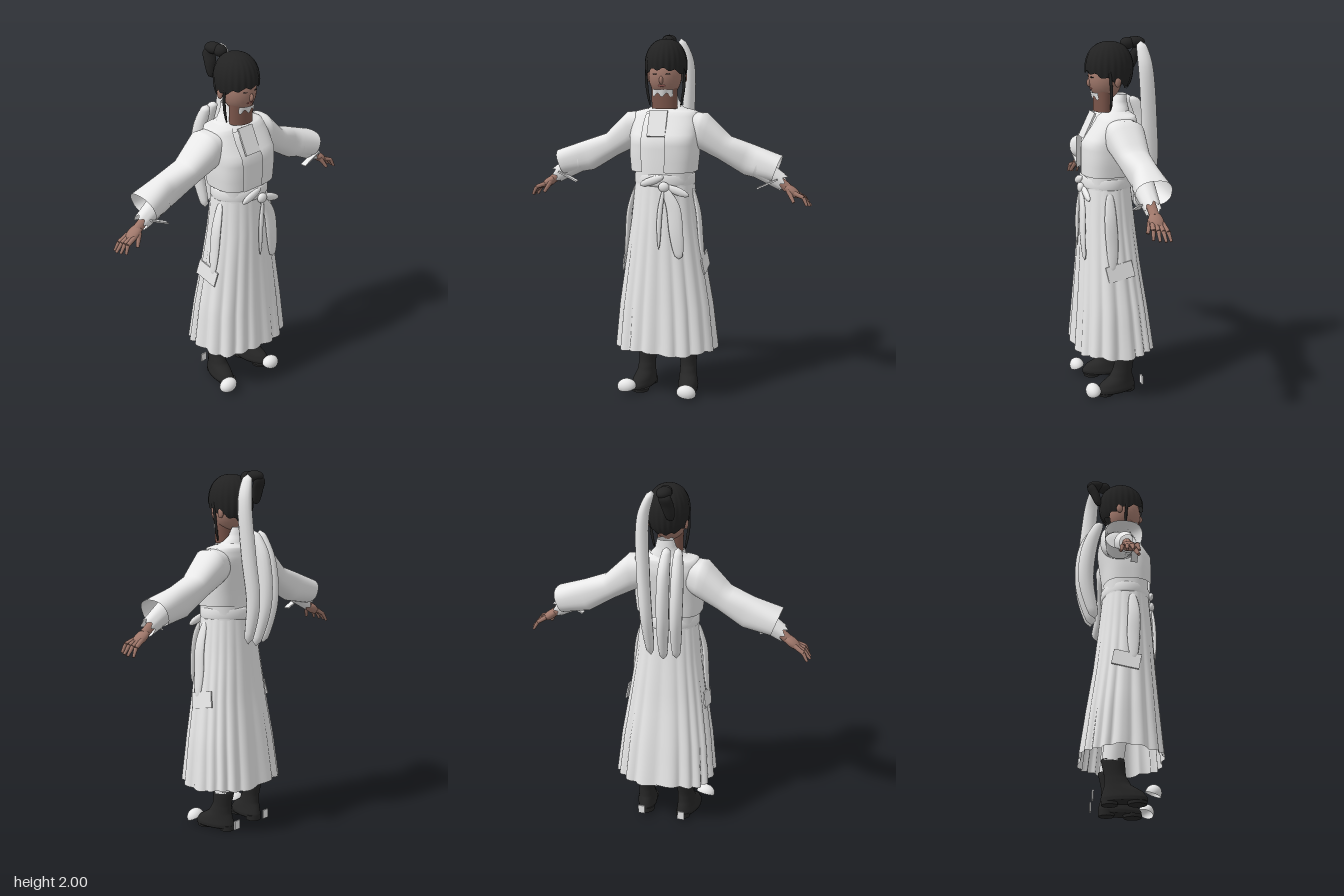
import * as THREE from 'three';

const mat = (name, color) => new THREE.MeshStandardMaterial({ name, color, side: THREE.DoubleSide });
const TAU = Math.PI * 2;

export function createModel() {
  const root = new THREE.Group();
  root.name = 'robedFigure';
  const cloth = mat('white cloth', 0xececec);
  const hair = mat('black hair', 0x222222);
  const leather = mat('black leather', 0x262626);
  const skin = mat('skin', 0xa0786b);
  const shade = mat('brown neck cloth', 0x7a554a);
  const lip = mat('lips', 0xa5645f);

  function add(name, geo, material, parent = root) {
    const m = new THREE.Mesh(geo, material);
    m.name = name;
    parent.add(m);
    return m;
  }

  // Skin over cross-sections: fn(row 0..1, column 0..1) returns a point
  function loft(rows, cols, fn, closed = true) {
    const pos = [], idx = [], n = closed ? cols : cols + 1;
    for (let i = 0; i <= rows; i++)
      for (let j = 0; j < n; j++) pos.push(...fn(i / rows, j / cols));
    for (let i = 0; i < rows; i++)
      for (let j = 0; j < cols; j++) {
        const a = i * n + j, c = i * n + (j + 1) % n, b = a + n, d = c + n;
        idx.push(a, b, c, b, d, c);
      }
    const g = new THREE.BufferGeometry();
    g.setAttribute('position', new THREE.Float32BufferAttribute(pos, 3));
    g.setIndex(idx);
    g.computeVertexNormals();
    return g;
  }

  // Interpolate a table of stations at t in 0..1
  function at(table, t) {
    const f = t * (table.length - 1), i = Math.min(Math.floor(f), table.length - 2);
    return table[i].map((v, k) => v + (table[i + 1][k] - v) * (f - i));
  }
  const pw = (v, p) => Math.sign(v) * Math.abs(v) ** p;

  // Body section stations: [y, half width, centre z, half depth]
  function body(table, rows, cols, power = 1, from = 0, to = TAU) {
    return loft(rows, cols, (u, v) => {
      const [y, rx, zc, rz] = at(table, u), a = from + (to - from) * v;
      return [rx * pw(Math.sin(a), power), y, zc + rz * pw(Math.cos(a), power)];
    }, to - from > 6.28);
  }

  // Tapered soft strip hanging along a curve
  function strip(points, w, t, taper = 0.5) {
    const c = new THREE.CatmullRomCurve3(points.map(p => new THREE.Vector3(...p)));
    return loft(28, 12, (u, v) => {
      const p = c.getPoint(u), s = Math.sin(Math.PI * u) ** taper + 0.02, a = v * TAU;
      return [p.x + w * s * Math.sin(a), p.y, p.z + t * s * Math.cos(a)];
    });
  }

  function ball(name, material, p, s, parent = root) {
    const m = add(name, new THREE.SphereGeometry(1, 24, 16), material, parent);
    m.position.set(...p);
    m.scale.set(...s);
    return m;
  }

  function limb(name, material, a, b, r0, r1, parent) {
    const A = new THREE.Vector3(...a), d = new THREE.Vector3(...b).sub(A);
    const m = add(name, new THREE.CylinderGeometry(r1, r0, d.length(), 10), material, parent);
    m.position.copy(A).addScaledVector(d, 0.5);
    m.quaternion.setFromUnitVectors(new THREE.Vector3(0, 1, 0), d.normalize());
    return m;
  }

  // Pleated skirt, squarish in plan, folds deepen toward the hem
  const skirtRows = [[1.24, 0.16, 0.045, 0.13], [1.0, 0.186, 0.042, 0.152], [0.76, 0.222, 0.035, 0.172],
    [0.52, 0.258, 0.025, 0.198], [0.27, 0.282, 0.018, 0.224]];
  add('skirt', loft(16, 160, (u, v) => {
    const [y, rx, zc, rz] = at(skirtRows, u), a = v * TAU, p = 0.92 - 0.12 * u;
    const fold = 1 + (0.01 + 0.08 * u) * (Math.abs(Math.sin(9 * a + 0.7 * Math.sin(3 * a))) - 0.65);
    return [0.008 * u + rx * fold * pw(Math.sin(a), p), y - 0.008 * u * Math.sin(5 * a), zc + rz * fold * pw(Math.cos(a), p)];
  }), cloth);

  // Inner robe, open-fronted jacket, collar and sash
  add('innerRobe', body([[1.2, 0.16, 0.045, 0.13], [1.32, 0.163, 0.045, 0.128], [1.44, 0.165, 0.04, 0.128],
    [1.54, 0.15, 0.01, 0.105], [1.61, 0.07, -0.01, 0.06]], 12, 48, 0.8), cloth);
  add('jacket', body([[1.605, 0.11, -0.01, 0.075], [1.59, 0.17, -0.005, 0.1], [1.53, 0.19, 0.01, 0.125],
    [1.45, 0.19, 0.042, 0.148], [1.36, 0.188, 0.05, 0.142], [1.275, 0.18, 0.052, 0.138]],
    15, 64, 0.7, 0.07, TAU - 0.41), cloth);
  add('shoulderYoke', body([[1.62, 0.07, -0.015, 0.06], [1.6, 0.12, -0.01, 0.08], [1.58, 0.172, 0, 0.1]], 6, 48, 0.8), cloth);
  add('collar', body([[1.7, 0.045, -0.04, 0.032], [1.65, 0.058, -0.03, 0.048], [1.6, 0.1, -0.01, 0.078]], 8, 40), cloth);
  add('sash', body([[1.265, 0.158, 0.045, 0.128], [1.255, 0.168, 0.045, 0.14], [1.21, 0.17, 0.045, 0.143],
    [1.195, 0.16, 0.045, 0.133]], 6, 48), cloth);
  const flap = add('neckScarf', new THREE.BoxGeometry(0.1, 0.15, 0.01), cloth);
  flap.position.set(-0.02, 1.535, 0.14);
  flap.rotation.x = -0.45;

  // Bow and hanging ends
  ball('sashKnot', cloth, [0.03, 1.2, 0.195], [0.03, 0.028, 0.02]);
  add('bowTailLong', strip([[0.03, 1.2, 0.195], [0.08, 1.1, 0.2], [0.1, 0.95, 0.205], [0.115, 0.81, 0.2]], 0.04, 0.014, 0.3), cloth);
  add('bowTailShort', strip([[0.03, 1.2, 0.2], [0.01, 1.05, 0.21], [0.005, 0.86, 0.212]], 0.014, 0.01), cloth);
  for (const s of [-1, 1]) {
    const loop = ball('bowLoop', cloth, [0.03 + s * 0.07, 1.205 - s * 0.025, 0.185], [0.07, 0.022, 0.016]);
    loop.rotation.z = -s * 0.35;
    add('hipDrape', strip([[s * 0.16, 1.19, 0.07], [s * 0.195, 1.05, 0.075], [s * 0.208, 0.9, 0.07], [s * 0.222, 0.76, 0.07]], 0.014, 0.035, 0.35), cloth);
    const panel = add('hipPanel', new THREE.BoxGeometry(0.008, 0.09, 0.15), cloth);
    panel.position.set(s * 0.226, 0.76, 0.03);
    panel.rotation.set(0.2, 0, s * 0.15);
  }

  // Long ribbons down the back
  const ribbons = [
    [[0.045, 1.98, -0.14], [0.085, 1.85, -0.155], [0.08, 1.55, -0.18], [0.06, 1.3, -0.195], [0.05, 1.07, -0.15]],
    [[-0.03, 1.68, -0.12], [-0.03, 1.55, -0.18], [-0.03, 1.3, -0.2], [-0.02, 1.05, -0.145]],
    [[-0.09, 1.68, -0.11], [-0.1, 1.52, -0.165], [-0.1, 1.3, -0.185], [-0.09, 1.06, -0.135]]];
  ribbons.forEach(p => add('backRibbon', strip(p, 0.034, 0.044, 0.25), cloth));

  // Face
  ball('face', skin, [0, 1.785, 0.045], [0.09, 0.115, 0.092]);
  ball('nose', skin, [0, 1.765, 0.133], [0.011, 0.022, 0.016]);
  ball('mouth', lip, [0, 1.735, 0.125], [0.022, 0.006, 0.005]);
  const neck = add('neckCloth', new THREE.CylinderGeometry(0.072, 0.07, 0.11, 28), shade);
  neck.position.set(0, 1.665, 0.058);
  neck.scale.z = 0.72;
  // Thin veil wrapped round the chin, with a jagged lower edge
  add('chinVeil', loft(4, 24, (u, v) => {
    const a = (v - 0.5) * 1.7, drop = 0.03 + 0.01 * Math.cos(9 * a);
    return [0.075 * Math.sin(a), 1.715 - u * drop, 0.058 + (0.068 - 0.008 * u) * Math.cos(a)];
  }, false), cloth);
  for (const s of [-1, 1]) {
    ball('ear', skin, [s * 0.1, 1.775, 0.005], [0.012, 0.028, 0.018]);
    const eye = ball('eye', hair, [s * 0.037, 1.797, 0.129], [0.014, 0.003, 0.003]);
    eye.rotation.y = s * 0.4;
    add('sideLock', strip([[s * 0.1, 1.87, 0.055], [s * 0.106, 1.78, 0.045], [s * 0.1, 1.7, 0.04], [s * 0.085, 1.62, 0.04]], 0.008, 0.008, 0.3), hair);
  }

  // Hair cap: full at the nape, jagged fringe over the brow
  add('hairCap', loft(18, 132, (u, v) => {
    const a = v * TAU, c = Math.cos(a);
    const low = 1.778 + 0.046 * c + 0.007 * Math.sin(11 * a);
    const phi = u * Math.acos((low - 1.845) / 0.135);
    const r = Math.sin(phi) ** (phi > Math.PI / 2 ? 0.5 : 0.85) * (1 + 0.02 * u * Math.sin(22 * a));
    return [0.113 * r * Math.sin(a), 1.845 + 0.135 * Math.cos(phi), 0.022 + 0.131 * r * c];
  }), hair);
  ball('hairTie', hair, [-0.015, 1.965, -0.085], [0.035, 0.032, 0.04]);
  ball('hairKnot', hair, [-0.02, 1.97, -0.13], [0.04, 0.03, 0.055]);
  add('ponytail', strip([[-0.02, 1.985, -0.14], [-0.03, 1.95, -0.155], [-0.04, 1.9, -0.135], [-0.05, 1.82, -0.115]], 0.036, 0.028, 0.35), hair);

  // Sleeve stations: [top x, top y, bottom x, bottom y, back z, front z]
  const sleeveRows = [[0.11, 1.59, 0.12, 1.42, -0.09, 0.09], [0.22, 1.585, 0.18, 1.39, -0.112, 0.1],
    [0.35, 1.46, 0.29, 1.335, -0.098, 0.07], [0.48, 1.415, 0.43, 1.25, -0.1, 0.045], [0.635, 1.36, 0.585, 1.222, -0.113, 0.08]];
  for (const s of [-1, 1]) {
    const arm = new THREE.Group();
    arm.name = s > 0 ? 'leftArm' : 'rightArm';
    arm.scale.x = s;
    root.add(arm);
    add('sleeve', loft(20, 36, (u, v) => {
      const [xt, yt, xb, yb, z0, z1] = at(sleeveRows, u);
      const k = (1 + pw(Math.sin(v * TAU), 0.8)) / 2, c = pw(Math.cos(v * TAU), 0.8);
      return [xb + (xt - xb) * k, yb + (yt - yb) * k, (z0 + z1) / 2 + c * (z1 - z0) / 2];
    }), cloth, arm);
    // Torn cuff
    add('cuff', loft(6, 36, (u, v) => {
      const a = v * TAU, r = 0.058 - 0.016 * u, x = 0.5 + u * (0.145 + 0.01 * Math.sin(7 * a));
      return [x + 0.4 * r * Math.sin(a), 1.305 - 0.6 * (x - 0.5) + r * Math.sin(a), r * Math.cos(a)];
    }), cloth, arm);
    const rag = add('cuffRag', new THREE.BoxGeometry(0.12, 0.008, 0.035), cloth, arm);
    rag.position.set(0.565, 1.215, 0.045);
    rag.rotation.z = 0.45;
    // Hand
    limb('wrist', skin, [0.6, 1.245, 0], [0.67, 1.19, 0], 0.026, 0.026, arm);
    ball('palm', skin, [0.692, 1.175, 0], [0.054, 0.025, 0.038], arm).rotation.z = -0.62;
    for (let i = 0; i < 4; i++) {
      const z = (i - 1.5) * 0.018, reach = 0.8 - 0.012 * Math.abs(i - 1.3);
      const knee = [0.76, 1.135 + 0.004 * i, z * 1.4];
      limb('finger', skin, [0.71, 1.165, z], knee, 0.013, 0.011, arm);
      limb('fingertip', skin, knee, [reach, 1.092 + 0.004 * i, z * 1.7], 0.011, 0.007, arm);
    }
    limb('thumb', skin, [0.675, 1.18, 0.025], [0.71, 1.12, 0.05], 0.014, 0.009, arm);

    // Trouser leg and boot
    const leg = new THREE.Group();
    leg.name = s > 0 ? 'leftLeg' : 'rightLeg';
    leg.scale.x = s;
    root.add(leg);
    limb('trouserLeg', cloth, [0.12, 0.22, -0.035], [0.1, 0.6, 0.01], 0.055, 0.07, leg);
    const boot = add('boot', body([[0.235, 0, -0.035, 0], [0.235, 0.053, -0.035, 0.062], [0.15, 0.046, -0.022, 0.056],
      [0.1, 0.048, -0.008, 0.07], [0.065, 0.053, 0.016, 0.105], [0.035, 0.058, 0.024, 0.12],
      [0.015, 0.055, 0.026, 0.118], [0.015, 0, 0.026, 0]], 28, 36), leather, leg);
    boot.position.x = 0.125;
    boot.rotation.y = 0.2;
    const heel = add('heel', new THREE.CylinderGeometry(0.044, 0.042, 0.03, 20), leather, leg);
    heel.position.set(0.112, 0.015, -0.05);
    const sole = add('sole', new THREE.CylinderGeometry(0.052, 0.048, 0.018, 20), leather, leg);
    sole.position.set(0.135, 0.009, 0.09);
    // Curled, hollow toe guard
    const toe = add('toeOrnament', new THREE.SphereGeometry(1, 24, 10, 0, TAU, 0, Math.PI * 0.55), cloth, leg);
    toe.position.set(s > 0 ? 0.15 : 0.195, s > 0 ? 0.035 : 0.045, 0.165);
    toe.scale.set(0.055, 0.045, 0.042);
    toe.rotation.set(0.35, 0, -0.15);
    const tab = add('heelTab', new THREE.BoxGeometry(0.04, 0.05, 0.008), cloth, leg);
    tab.position.set(0.12, 0.05, -0.135);
  }
  return root;
}
